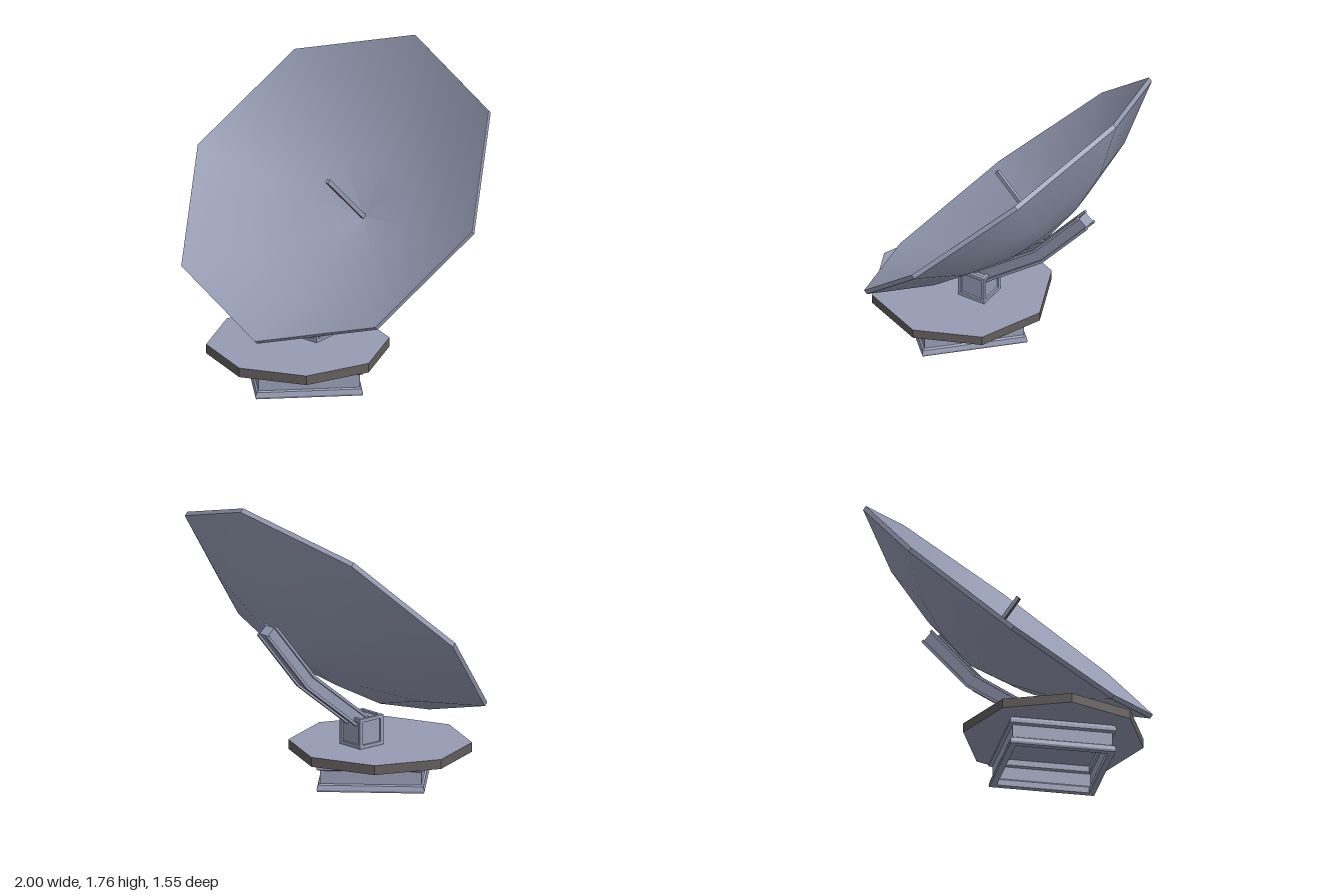
import * as THREE from 'three';

const steel = new THREE.MeshStandardMaterial({ color: 0x969bb3 });
steel.name = 'blueGreySteel';
const dark = new THREE.MeshStandardMaterial({ color: 0x625e5c });
dark.name = 'darkWarmGrey';

const v2 = (a) => a.map(([x, y]) => new THREE.Vector2(x, y));

function add(parent, name, geometry, material = steel) {
  const mesh = new THREE.Mesh(geometry, material);
  mesh.name = name;
  parent.add(mesh);
  return mesh;
}

// Sharp facets on every face
function faceted(geometry) {
  const g = geometry.toNonIndexed();
  g.computeVertexNormals();
  return g;
}

// Bar of constant width in x, following a bent path of [z, y] points, between two offsets
function bentBar(path, o1, o2, x1, x2) {
  const pts = path.map(([z, y]) => new THREE.Vector2(-z, y));
  const side = (o) => pts.map((p, i) => {
    const a = pts[Math.max(i - 1, 0)], b = pts[Math.min(i + 1, pts.length - 1)];
    const d1 = (i ? p.clone().sub(a) : b.clone().sub(p)).normalize();
    const d2 = (i < pts.length - 1 ? b.clone().sub(p) : p.clone().sub(a)).normalize();
    const n1 = new THREE.Vector2(-d1.y, d1.x), n2 = new THREE.Vector2(-d2.y, d2.x);
    const m = n1.clone().add(n2).normalize();
    return p.clone().addScaledVector(m, o / m.dot(n1));
  });
  const shape = new THREE.Shape([...side(o1), ...side(o2).reverse()]);
  const g = new THREE.ExtrudeGeometry(shape, { depth: x2 - x1, bevelEnabled: false });
  return g.translate(0, 0, x1).rotateY(Math.PI / 2);
}

function makeDish() {
  const dish = new THREE.Group();
  dish.name = 'dish';
  // Smooth shells, eight sides
  const back = [[0, -0.383], [0.333, -0.322], [0.667, -0.215], [1, -0.027]];
  const front = [[0.997, 0], [0.66, -0.19], [0.33, -0.298], [0, -0.358]];
  add(dish, 'dishBack', new THREE.LatheGeometry(v2(back), 8));
  add(dish, 'dishFront', new THREE.LatheGeometry(v2(front), 8));
  add(dish, 'dishRim', faceted(new THREE.LatheGeometry(v2([[1, -0.027], [1, 0], [0.997, 0]]), 8)));
  // Feed rod on the dish axis, with a dark underside
  const rod = new THREE.BoxGeometry(0.018, 0.45, 0.026).translate(0, -0.135, 0);
  add(dish, 'feedRod', rod, [steel, steel, steel, steel, dark, steel]);
  dish.rotation.x = Math.PI / 4;
  dish.position.set(0, 1.055, -0.055);
  return dish;
}

function makeBase() {
  const base = new THREE.Group();
  base.name = 'base';
  // Hollow square frame set cornerwise, with flanges above and below a waist
  const section = [
    [0.375, 0], [0.425, 0], [0.43, 0.012], [0.42, 0.038], [0.405, 0.045],
    [0.405, 0.12], [0.43, 0.128], [0.43, 0.147], [0.415, 0.167], [0.375, 0.167],
    [0.375, 0.13], [0.388, 0.12], [0.388, 0.045], [0.375, 0.035], [0.375, 0],
  ];
  const frame = add(base, 'baseFrame', faceted(new THREE.LatheGeometry(v2(section), 4)));
  frame.position.set(0.01, 0, 0.228);
  // Octagonal turntable with a dark edge
  const disc = new THREE.CylinderGeometry(0.517, 0.517, 0.055, 8);
  const flat = faceted(disc);
  disc.groups.forEach((g) => flat.groups.includes(g) || flat.addGroup(g.start, g.count, g.materialIndex));
  add(base, 'turntable', flat, [dark, steel, steel]).position.set(-0.017, 0.1925, 0.252);
  return base;
}

function makePost() {
  const post = new THREE.Group();
  post.name = 'post';
  const w = 0.174, t = 0.02, h = (w - t) / 2;
  add(post, 'postPanels', new THREE.BoxGeometry(w - 0.024, w - 0.024, w - 0.024));
  // Twelve raised edges
  for (const a of [-h, h]) {
    for (const b of [-h, h]) {
      add(post, 'postEdge', new THREE.BoxGeometry(w, t, t)).position.set(0, a, b);
      add(post, 'postEdge', new THREE.BoxGeometry(t, w, t)).position.set(a, 0, b);
      add(post, 'postEdge', new THREE.BoxGeometry(t, t, w)).position.set(a, b, 0);
    }
  }
  post.position.set(0, 0.31, 0.127);
  return post;
}

function makeArm() {
  const arm = new THREE.Group();
  arm.name = 'arm';
  const path = [[0.12, 0.35], [-0.29, 0.667], [-0.583, 1.015]];
  // Recessed core with four corner rails
  add(arm, 'armCore', bentBar(path, -0.032, 0.032, -0.035, 0.035));
  for (const o of [-0.045, 0.029]) {
    for (const x of [-0.047, 0.031]) {
      add(arm, 'armRail', bentBar(path, o, o + 0.016, x, x + 0.016));
    }
  }
  return arm;
}

export function createModel() {
  const model = new THREE.Group();
  model.name = 'satelliteDish';
  model.add(makeDish(), makeBase(), makePost(), makeArm());
  return model;
}
